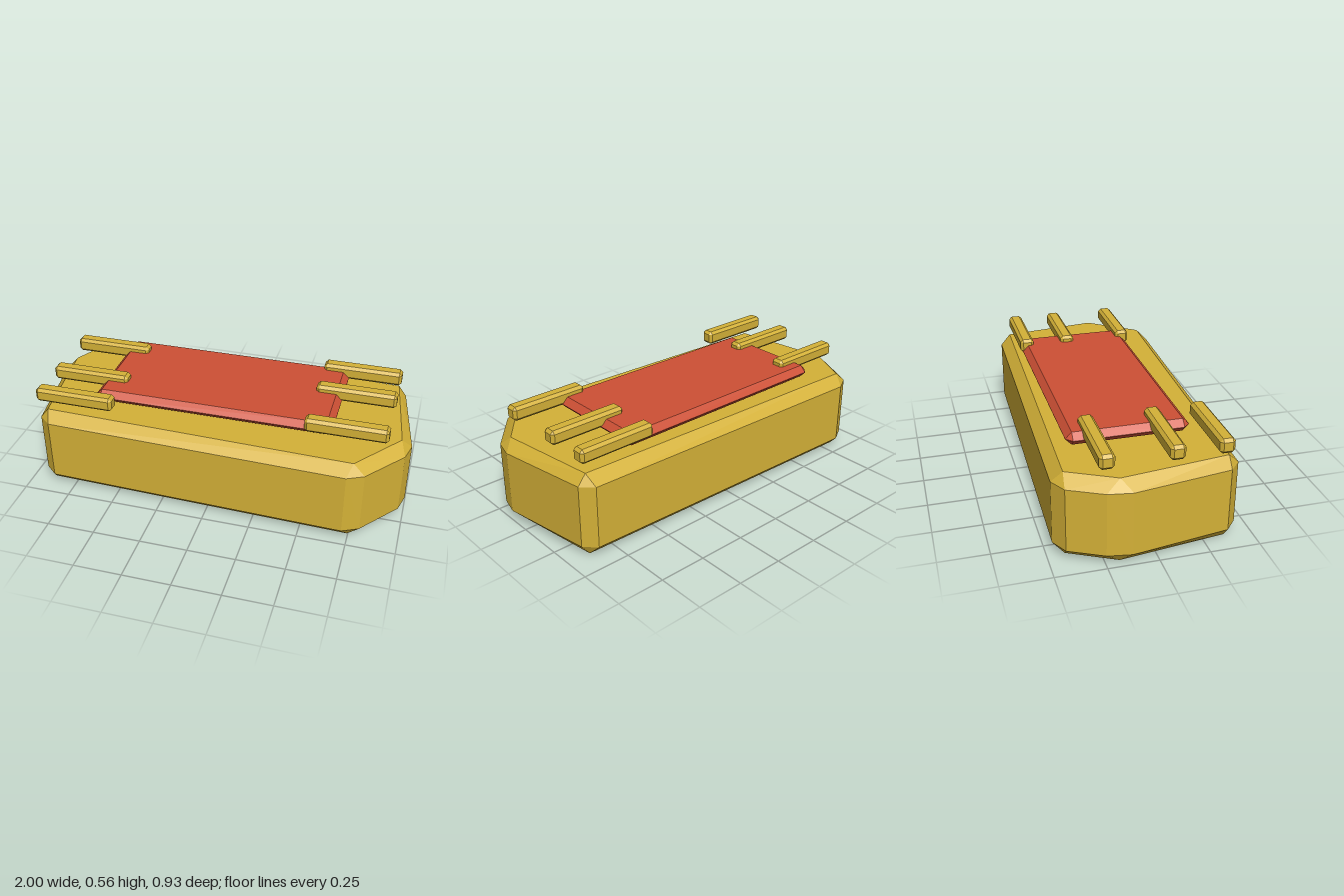
import * as THREE from 'three';
import { ConvexGeometry } from 'three/addons/geometries/ConvexGeometry.js';

const gold = new THREE.MeshStandardMaterial({ color: 0xd4b137, flatShading: true });
const red = new THREE.MeshStandardMaterial({ color: 0xcd5035, flatShading: true });

function hull(name, points, material) {
  const mesh = new THREE.Mesh(new ConvexGeometry(points), material);
  mesh.name = name;
  return mesh;
}

// Box with every edge and corner cut by a flat chamfer c
function chamferBox(name, w, h, d, c, material) {
  const points = [];
  for (const sx of [-1, 1]) for (const sy of [-1, 1]) for (const sz of [-1, 1]) {
    const x = w / 2, y = h / 2, z = d / 2;
    points.push(
      new THREE.Vector3(sx * x, sy * (y - c), sz * (z - c)),
      new THREE.Vector3(sx * (x - c), sy * y, sz * (z - c)),
      new THREE.Vector3(sx * (x - c), sy * (y - c), sz * z));
  }
  return hull(name, points, material);
}

export function createModel() {
  const model = new THREE.Group();
  model.name = 'chip';

  // Irregular six-sided slab: wide twelve-point wall, inset top and bottom faces
  const wall = [
    [-0.81, -0.468], [0.86, -0.424], [0.92, -0.367], [1, 0.113], [0.975, 0.213], [0.805, 0.425],
    [0.72, 0.466], [-0.86, 0.42], [-0.925, 0.363], [-1, -0.13], [-0.98, -0.25], [-0.895, -0.42],
  ];
  const face = [
    [-0.83, -0.413], [0.877, -0.368], [0.948, 0.15], [0.745, 0.411], [-0.88, 0.363], [-0.95, -0.18],
  ];
  const ring = (outline, ys) => ys.flatMap(y => outline.map(([x, z]) => new THREE.Vector3(x, y, z)));
  model.add(hull('body', [...ring(wall, [0.056, 0.385]), ...ring(face, [0, 0.441])], gold));

  // Floating plate above the body
  const plate = chamferBox('plate', 1.264, 0.066, 0.61, 0.032, red);
  plate.position.set(-0.025, 0.489, -0.05);
  model.add(plate);

  // Three staggered pins at each end
  const rows = [
    ['rightPin', -0.73, [0.33, 0.094, -0.235]],
    ['leftPin', 0.679, [0.235, -0.094, -0.328]],
  ];
  for (const [name, x, zs] of rows) {
    zs.forEach((z, i) => {
      const pin = chamferBox(name + (i + 1), 0.422, 0.075, 0.075, 0.015, gold);
      pin.position.set(x, 0.518, z);
      model.add(pin);
    });
  }
  return model;
}
